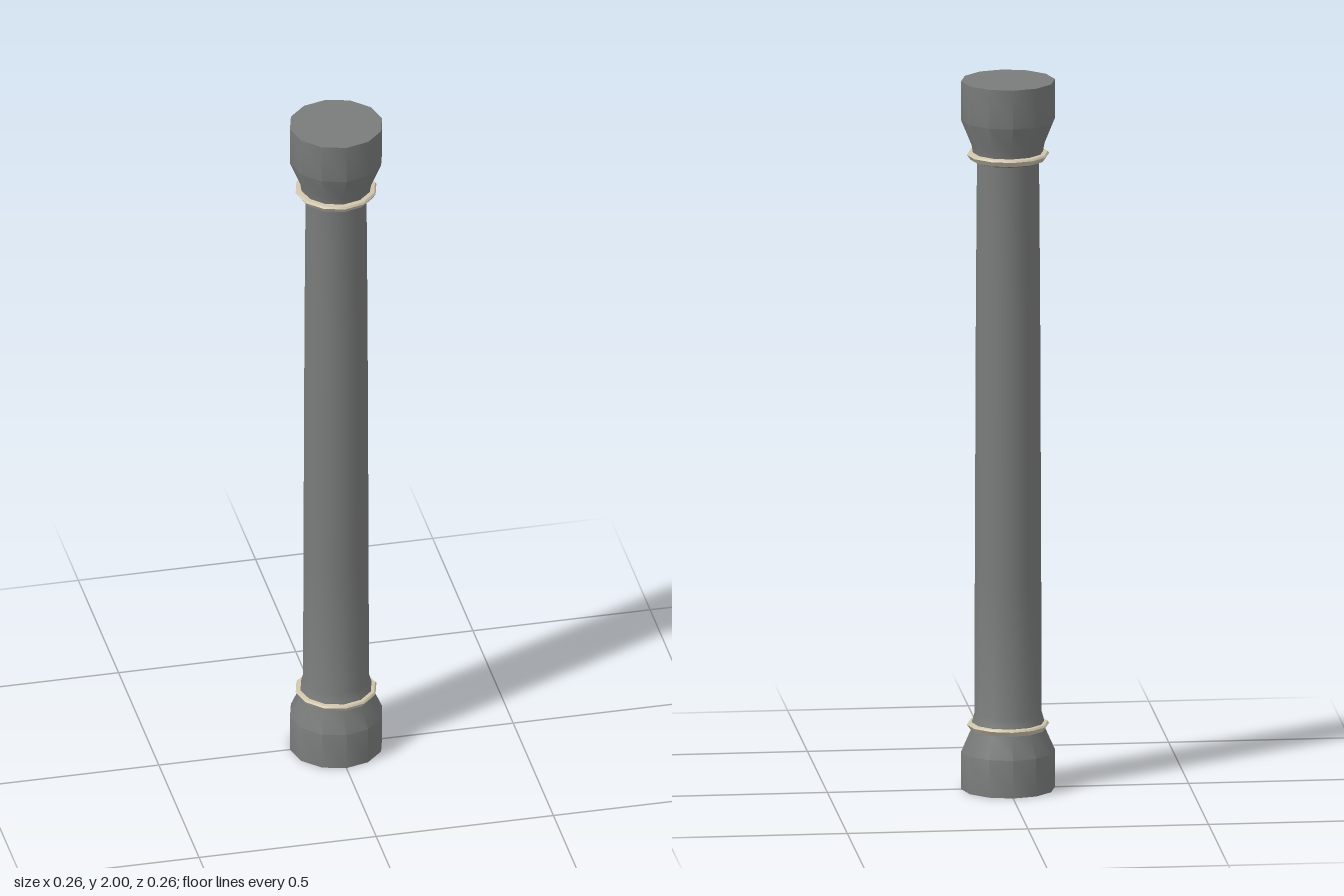
import * as THREE from 'three';
import { toCreasedNormals } from 'three/addons/utils/BufferGeometryUtils.js';

const SIDES = 12;

// Turns a profile of [radius, height] pairs, listed bottom to top on the outside
function turned(name, profile, material) {
  const points = profile.map(([r, y]) => new THREE.Vector2(r, y));
  const geometry = toCreasedNormals(new THREE.LatheGeometry(points, SIDES), Math.PI / 5);
  const mesh = new THREE.Mesh(geometry, material);
  mesh.name = name;
  return mesh;
}

export function createModel() {
  const stone = new THREE.MeshStandardMaterial({ color: 0x7a7c7b });
  stone.name = 'grey stone';
  const trim = new THREE.MeshStandardMaterial({ color: 0xd0c6ae });
  trim.name = 'pale trim';

  const column = new THREE.Group();
  column.name = 'column';

  // Base block narrowing to the lower ring
  column.add(turned('base', [
    [0, 0], [0.13, 0], [0.13, 0.106], [0.104, 0.165], [0.1, 0.19],
  ], stone));

  // Slightly tapering shaft
  column.add(turned('shaft', [
    [0.1, 0.19], [0.093, 0.215], [0.092, 0.6], [0.089, 1.38], [0.086, 1.772],
  ], stone));

  // Capital flaring out to the flat top
  column.add(turned('capital', [
    [0.086, 1.772], [0.094, 1.778], [0.101, 1.82], [0.13, 1.89], [0.13, 2], [0, 2],
  ], stone));

  // Thin projecting rings at both ends of the shaft
  for (const [name, y] of [['lowerRing', 0.18], ['upperRing', 1.79]]) {
    const ring = turned(name, [
      [0.09, -0.012], [0.104, -0.012], [0.114, 0.002], [0.11, 0.007], [0.09, 0.009],
    ], trim);
    ring.position.y = y;
    column.add(ring);
  }

  return column;
}
